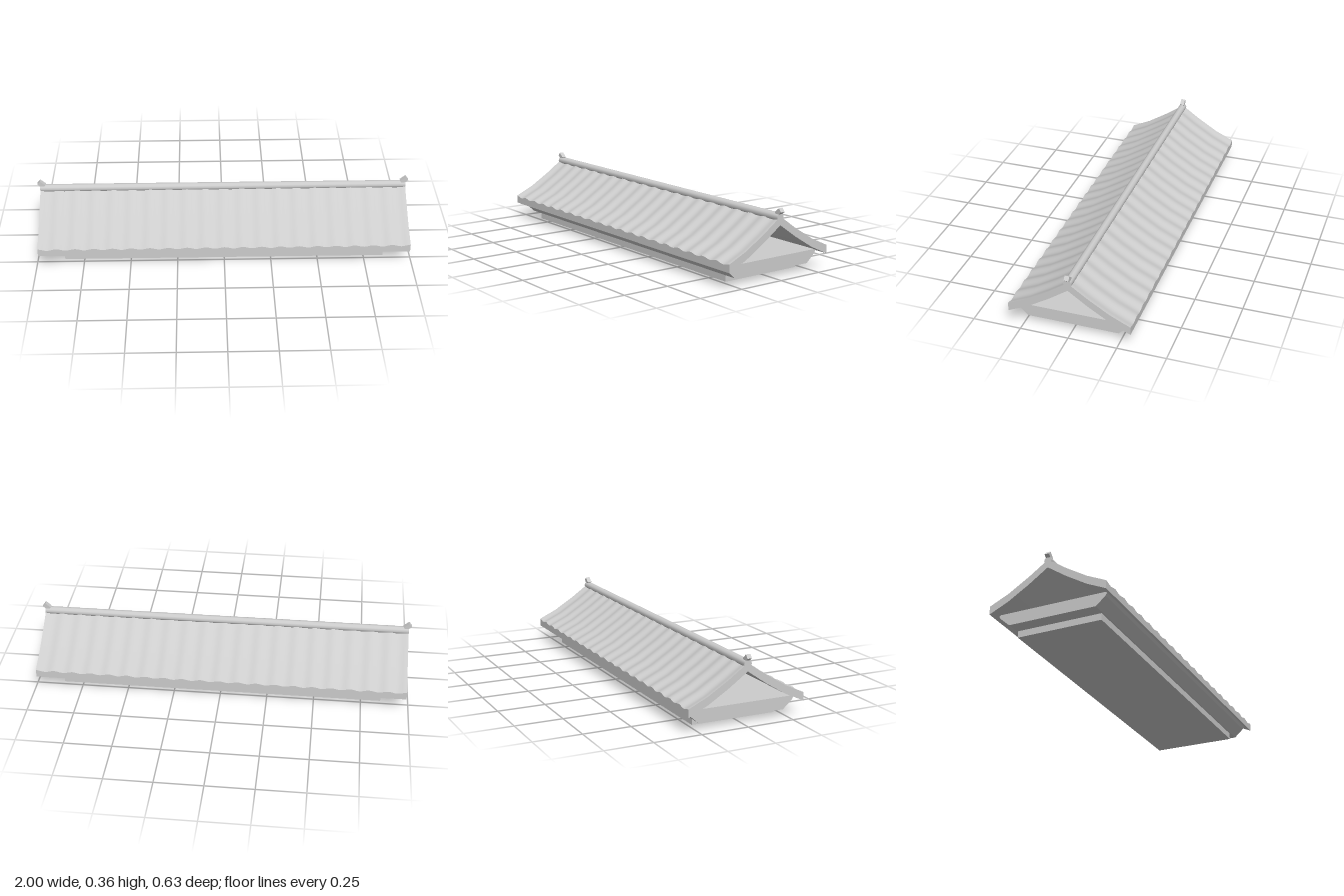
import * as THREE from 'three';

export function createModel() {
  const group = new THREE.Group();
  const stone = new THREE.MeshStandardMaterial({ color: 0xcccccc });
  stone.name = 'pale grey';

  const add = (name, geometry) => {
    const mesh = new THREE.Mesh(geometry, stone);
    mesh.name = name;
    group.add(mesh);
    return mesh;
  };

  // Plinth at the bottom
  add('plinth', new THREE.BoxGeometry(1.71, 0.035, 0.456)).position.y = 0.0175;

  // Flared cornice, extruded along x
  const half = [[0.235, 0.035], [0.285, 0.08], [0.297, 0.1]];
  const outline = [...half, ...half.slice().reverse().map(([z, y]) => [-z, y])];
  const shape = new THREE.Shape(outline.map(([z, y]) => new THREE.Vector2(z, y)));
  const cornice = new THREE.ExtrudeGeometry(shape, { depth: 1.86, bevelEnabled: false });
  cornice.translate(0, 0, -0.93).rotateY(-Math.PI / 2);
  add('cornice', cornice);

  // Roof slope: a bent slab with a rippled upper surface
  const length = 1.97, waves = 20, thickness = 0.043;
  const slope = [[0, 0.315], [0.1, 0.245], [0.212, 0.176], [0.315, 0.128]];
  const roofSlope = () => {
    const g = new THREE.BoxGeometry(length, 1, 3, waves * 8, 1, 3);
    const p = g.attributes.position;
    for (let i = 0; i < p.count; i++) {
      const [z, top] = slope[Math.round(p.getZ(i) + 1.5)];
      const phase = (p.getX(i) / length + 0.5) * waves * Math.PI * 2;
      const ripple = 0.0045 * (Math.cos(phase) - 1);
      p.setY(i, p.getY(i) > 0 ? top + ripple : top - thickness);
      p.setZ(i, z);
    }
    g.computeVertexNormals();
    return g;
  };
  add('frontRoofSlope', roofSlope());
  add('backRoofSlope', roofSlope().rotateY(Math.PI));

  // Ridge roll along the top
  const ridge = new THREE.CylinderGeometry(0.021, 0.021, length, 10);
  ridge.rotateZ(Math.PI / 2);
  add('ridgeRoll', ridge).position.y = 0.31;

  // Tilted end ornaments on the ridge
  for (const side of [-1, 1]) {
    const finial = add(side > 0 ? 'leftFinial' : 'rightFinial', new THREE.BoxGeometry(0.037, 0.024, 0.024));
    finial.position.set(side * 0.978, 0.336, 0);
    finial.rotation.z = side * 0.7;
  }
  return group;
}
